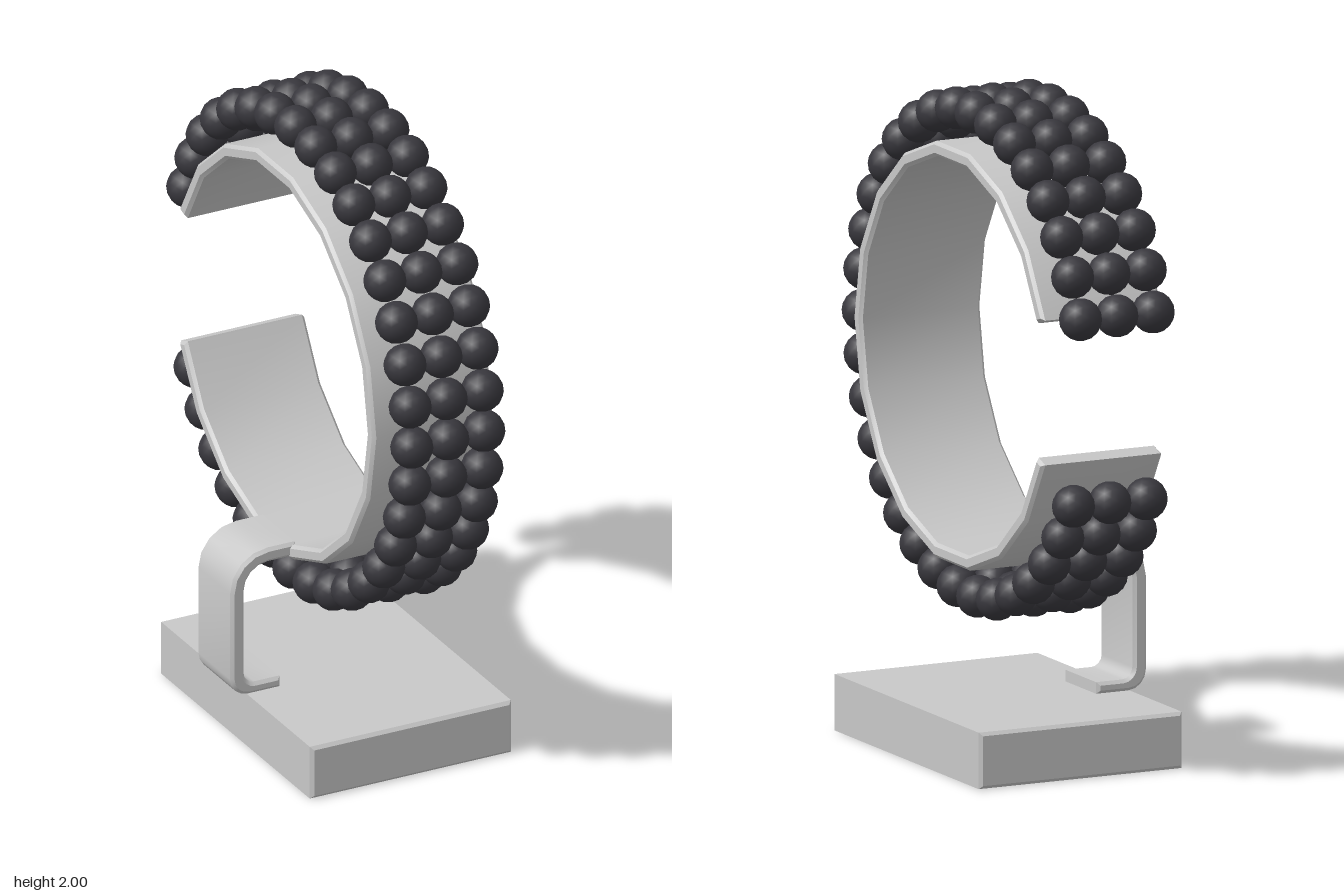
import * as THREE from 'three';
import { toCreasedNormals } from 'three/addons/utils/BufferGeometryUtils.js';

const BEVEL = 0.01;
const CY = 1.21, CZ = -0.01, CX = 0.03; // bracelet centre

// Chamfered extrusion of [u, v] points, centred on its depth
function bevelled(points, depth) {
  const shape = new THREE.Shape(points.map(([u, v]) => new THREE.Vector2(u, v)));
  const g = new THREE.ExtrudeGeometry(shape, {
    depth: depth - 2 * BEVEL, bevelEnabled: true, bevelSegments: 1,
    bevelSize: BEVEL, bevelThickness: BEVEL, bevelOffset: -BEVEL,
  });
  g.translate(0, 0, -(depth - 2 * BEVEL) / 2);
  return toCreasedNormals(g, 0.5);
}

// Points along a quarter bend
function bend(cx, cy, r, from, to, steps = 4) {
  return Array.from({ length: steps + 1 }, (_, i) => {
    const a = THREE.MathUtils.degToRad(from + ((to - from) * i) / steps);
    return [cx + r * Math.cos(a), cy + r * Math.sin(a)];
  });
}

export function createModel() {
  const model = new THREE.Group();
  const metal = new THREE.MeshStandardMaterial({ name: 'paleGrey', color: 0xc8c8c8 });
  const dark = new THREE.MeshStandardMaterial({ name: 'charcoal', color: 0x39383e });

  const add = (name, geometry, material, parent = model) => {
    const mesh = new THREE.Mesh(geometry, material);
    mesh.name = name;
    parent.add(mesh);
    return mesh;
  };

  // Base slab
  const base = bevelled([[-0.31, 0], [0.36, 0], [0.36, 0.17], [-0.31, 0.17]], 0.96);
  add('base', base, metal).position.z = 0.02;

  // Bent strap bracket joining the base to the cuff
  const bracket = bevelled([
    [-0.2, 0.17],
    [-0.2, 0.205],
    ...bend(-0.285, 0.24, 0.035, 270, 180),
    ...bend(-0.24, 0.51, 0.08, 180, 90),
    [-0.15, 0.59],
    [-0.15, 0.635],
    ...bend(-0.24, 0.51, 0.125, 90, 180),
    ...bend(-0.305, 0.23, 0.06, 180, 270),
  ], 0.22);
  add('bracket', bracket, metal).position.z = CZ;

  // Open cuff: sixteen straight steps with the gap at the back
  const outer = bend(0, 0, 0.637, -160, 160, 16);
  const inner = bend(0, 0, 0.592, 160, -160, 16);
  const cuff = bevelled([...outer, ...inner], 0.4);
  cuff.rotateY(-Math.PI / 2);
  add('cuff', cuff, metal).position.set(CX, CY, CZ);

  // Three rows of beads around the cuff
  const beads = new THREE.Group();
  beads.name = 'beads';
  model.add(beads);
  const beadGeometry = new THREE.IcosahedronGeometry(0.064, 2);
  const arc = bend(0, 0, 0.728, -152.2, 161.4, 31);
  for (const row of [-0.12, 0, 0.12]) {
    for (const [z, y] of arc) {
      add('bead', beadGeometry, dark, beads).position.set(CX + row, CY + y, CZ + z);
    }
  }
  return model;
}
